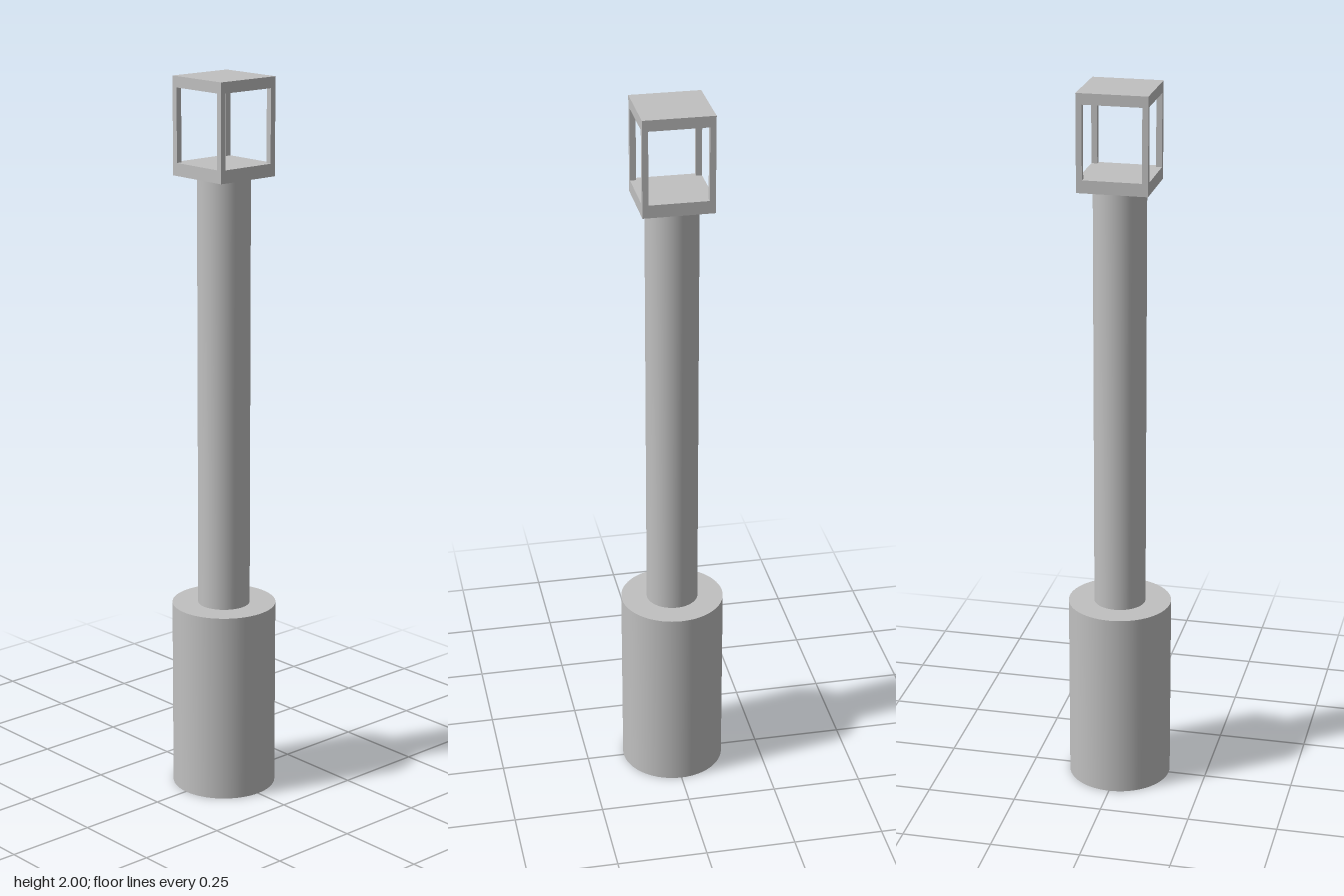
import * as THREE from 'three';

export function createModel() {
  const model = new THREE.Group();
  model.name = 'lanternPost';
  const grey = new THREE.MeshStandardMaterial({ color: 0xc0c0c0 });
  grey.name = 'light grey';

  const add = (name, geometry, x, y, z, parent = model) => {
    const mesh = new THREE.Mesh(geometry, grey);
    mesh.name = name;
    mesh.position.set(x, y, z);
    parent.add(mesh);
  };
  const cylinder = (name, radius, bottom, top) =>
    add(name, new THREE.CylinderGeometry(radius, radius, top - bottom, 64), 0, (bottom + top) / 2, 0);

  // Round base and column
  cylinder('base', 0.144, 0, 0.535);
  cylinder('column', 0.072, 0.535, 1.735);

  // Open lantern: floor, roof and four corner posts
  const lantern = new THREE.Group();
  lantern.name = 'lantern';
  model.add(lantern);
  const width = 0.192, post = 0.016, floorTop = 1.77, roofBottom = 1.97;
  add('lanternFloor', new THREE.BoxGeometry(width, floorTop - 1.735, width), 0, (1.735 + floorTop) / 2, 0, lantern);
  add('lanternRoof', new THREE.BoxGeometry(width, 2 - roofBottom, width), 0, (roofBottom + 2) / 2, 0, lantern);
  const postGeometry = new THREE.BoxGeometry(post, roofBottom - floorTop, post);
  const offset = (width - post) / 2;
  for (const x of [-offset, offset]) {
    for (const z of [-offset, offset]) {
      add('lanternPost', postGeometry, x, (floorTop + roofBottom) / 2, z, lantern);
    }
  }
  return model;
}
